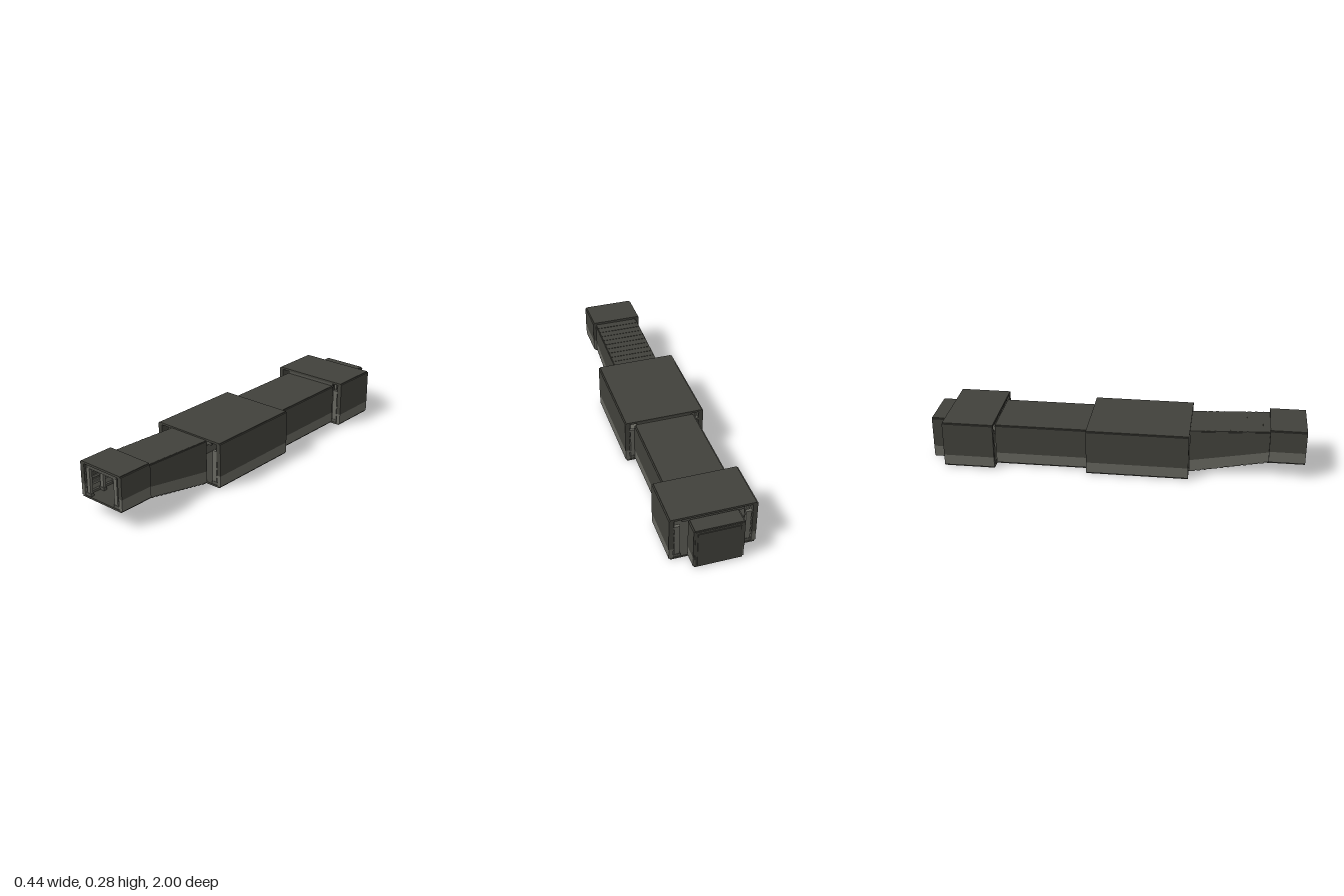
import * as THREE from 'three';

const mat = (name, color) => Object.assign(new THREE.MeshStandardMaterial({ color }), { name });

export function createModel() {
  const model = new THREE.Group();
  model.name = 'corridorComplex';
  const dark = mat('darkPanel', 0x41413b);
  const grey = mat('greyPanel', 0x65655e);
  const mid = mat('midTrim', 0x50504a);
  const red = mat('redCanister', 0x9a4026);
  const black = mat('cableBlack', 0x2c2c28);

  const add = (parent, name, geo, material) => {
    const m = new THREE.Mesh(geo, material);
    m.name = name;
    parent.add(m);
    return m;
  };
  // Box given by its limits
  const box = (parent, name, x0, x1, y0, y1, z0, z1, material) =>
    add(parent, name, new THREE.BoxGeometry(x1 - x0, y1 - y0, z1 - z0), material)
      .position.set((x0 + x1) / 2, (y0 + y1) / 2, (z0 + z1) / 2);
  // The same box on both sides
  const pair = (parent, name, x0, x1, ...rest) => {
    box(parent, name, x0, x1, ...rest);
    box(parent, name, -x1, -x0, ...rest);
  };
  // Prism from a (z, y) outline, extruded over x0..x1 on both sides
  const sidePrism = (parent, name, pts, x0, x1, material) => {
    const geo = new THREE.ExtrudeGeometry(
      new THREE.Shape(pts.map(p => new THREE.Vector2(...p))), { depth: x1 - x0, bevelEnabled: false });
    geo.rotateY(-Math.PI / 2);
    add(parent, name, geo, material).position.x = x1;
    add(parent, name, geo, material).position.x = -x0;
  };

  // Open-ended room: slabs, two-tone walls, ribs and ledges
  const room = ({ name, z0, z1, w, y0, y1, band, ribs, wide }) => {
    const g = new THREE.Group();
    g.name = name;
    model.add(g);
    box(g, 'floor', -w + 0.008, w - 0.008, y0, y0 + 0.01, z0, z1, dark);
    box(g, 'ceiling', -w + 0.007, w - 0.007, y1 - 0.012, y1, z0, z1, dark);
    pair(g, 'upperWall', w - 0.024, w, band, y1 - 0.005, z0, z1, dark);
    pair(g, 'lowerWall', w - 0.022, w - 0.001, y0 + 0.008, band, z0, z1, grey);
    pair(g, 'skirting', w - 0.034, w - 0.022, y0 + 0.01, y0 + 0.022, z0 + 0.004, z1 - 0.004, mid);
    // Wall ledges
    for (let i = 0; i < 4; i++) {
      const y = y0 + 0.05 + i * (y1 - y0) * 0.18;
      pair(g, 'wallLedge', w - 0.029, w - 0.023, y, y + 0.012, z0 + 0.004, z1 - 0.004, grey);
    }
    // Ribs and ceiling beams
    const top = wide ? y1 - 0.052 : y1 - 0.026;
    const bx = wide ? w - 0.065 : w - 0.034;
    for (let i = 0; i < ribs; i++) {
      const z = z0 + 0.012 + (i / (ribs - 1)) * (z1 - z0 - 0.024);
      pair(g, 'wallRib', w - 0.057, w - (wide ? 0.03 : 0.035), y0 + 0.014, top, z - 0.008, z + 0.008, grey);
      pair(g, 'ribFoot', w - 0.061, w - 0.026, y0 + 0.01, y0 + 0.026, z - 0.01, z + 0.01, mid);
      box(g, 'ceilingBeam', -bx, bx, y1 - 0.03, y1 - 0.012, z - 0.007, z + 0.007, mid);
    }
    return g;
  };

  room({ name: 'entrance', z0: 0.81, z1: 1, w: 0.14, y0: 0.086, y1: 0.276, band: 0.155, ribs: 3 });
  const hall = room({ name: 'mainHall', z0: -0.145, z1: 0.395, w: 0.215, y0: 0, y1: 0.25, band: 0.068, ribs: 7, wide: true });
  const passage = room({ name: 'passage', z0: -0.64, z1: -0.145, w: 0.165, y0: 0.002, y1: 0.231, band: 0.068, ribs: 7 });
  room({ name: 'rearChamber', z0: -0.912, z1: -0.64, w: 0.222, y0: 0.002, y1: 0.256, band: 0.068, ribs: 4, wide: true });
  const alcove = room({ name: 'endAlcove', z0: -0.994, z1: -0.912, w: 0.128, y0: 0.003, y1: 0.236, band: 0.068, ribs: 2 });

  // Back wall with its raised panel, and stepped door frames inside
  box(alcove, 'backWall', -0.12, 0.12, 0.006, 0.228, -0.996, -0.986, dark);
  box(alcove, 'backPanel', -0.108, 0.108, 0.018, 0.216, -1, -0.995, dark);
  for (let i = 0; i < 3; i++) {
    const x = 0.085 - i * 0.017, y = 0.208 - i * 0.016, z = -0.945 - i * 0.012;
    pair(alcove, 'doorFramePost', x - 0.014, x, 0.013, y, z - 0.012, z, i % 2 ? mid : grey);
    box(alcove, 'doorFrameLintel', -x, x, y - 0.014, y, z - 0.012, z, i % 2 ? mid : grey);
  }
  box(alcove, 'innerDoor', -0.04, 0.04, 0.013, 0.162, -0.985, -0.975, dark);

  // Sloping stair passage
  const stairs = new THREE.Group();
  stairs.name = 'stairPassage';
  model.add(stairs);
  const zA = 0.395, zB = 0.815, zC = 0.75;
  sidePrism(stairs, 'upperWall',
    [[zA, 0.068], [zB, 0.143], [zB, 0.254], [zC, 0.251], [zA, 0.236]], 0.103, 0.123, dark);
  sidePrism(stairs, 'lowerWall',
    [[zA, 0.008], [0.42, 0.008], [zB, 0.088], [zB, 0.143], [zA, 0.068]], 0.105, 0.122, grey);
  const steps = 14, dz = (zB - zA) / steps;
  for (let i = 0; i < steps; i++) {
    const z = zA + i * dz, y = 0.004 + i * 0.0059;
    box(stairs, 'step', -0.118, 0.118, y, y + 0.016, z, z + dz + 0.004, i % 2 ? mid : grey);
    box(stairs, 'stepUnderside', -0.12, 0.12, y - 0.002, y, z, z + dz, dark);
    if (i % 3 === 1) {
      pair(stairs, 'stairRib', 0.085, 0.103, y + 0.016, y + 0.19 - i * 0.003, z, z + 0.014, grey);
    }
  }
  const slats = 10, sz = (zB - zA) / slats;
  for (let i = 0; i < slats; i++) {
    const z = zA + i * sz, y = 0.229 + i * 0.0019;
    box(stairs, 'roofSlat', -0.12, 0.12, y, y + 0.013, z, z + sz + 0.003, dark);
  }

  // Benches, canisters and cables inside the hall
  pair(hall, 'bench', 0.1, 0.15, 0.01, 0.06, -0.1, 0.3, mid);
  pair(hall, 'benchTop', 0.095, 0.152, 0.06, 0.068, -0.105, 0.305, grey);
  for (const s of [-1, 1]) {
    for (let i = 0; i < 3; i++) {
      const can = add(hall, 'canister', new THREE.CylinderGeometry(0.01, 0.01, 0.128, 12), red);
      can.position.set(s * 0.067, 0.074, -0.05 + i * 0.14);
      for (const y of [0.1, 0.12]) {
        const ring = add(hall, 'canisterBand', new THREE.CylinderGeometry(0.0115, 0.0115, 0.004, 12), black);
        ring.position.set(s * 0.067, y, -0.05 + i * 0.14);
      }
    }
    const cable = new THREE.CatmullRomCurve3([
      [0.09, 0.125, 0.2], [0.05, 0.118, 0.14], [0.02, 0.1, 0.02], [0.06, 0.13, -0.1], [0.1, 0.16, -0.14],
    ].map(([x, y, z]) => new THREE.Vector3(s * x, y, z)));
    add(hall, 'cable', new THREE.TubeGeometry(cable, 24, 0.0025, 6), black);
    const pipe = add(passage, 'ceilingPipe', new THREE.CylinderGeometry(0.007, 0.007, 0.48, 10), mid);
    pipe.rotation.x = Math.PI / 2;
    pipe.position.set(s * 0.1, 0.195, -0.392);
  }
  return model;
}
